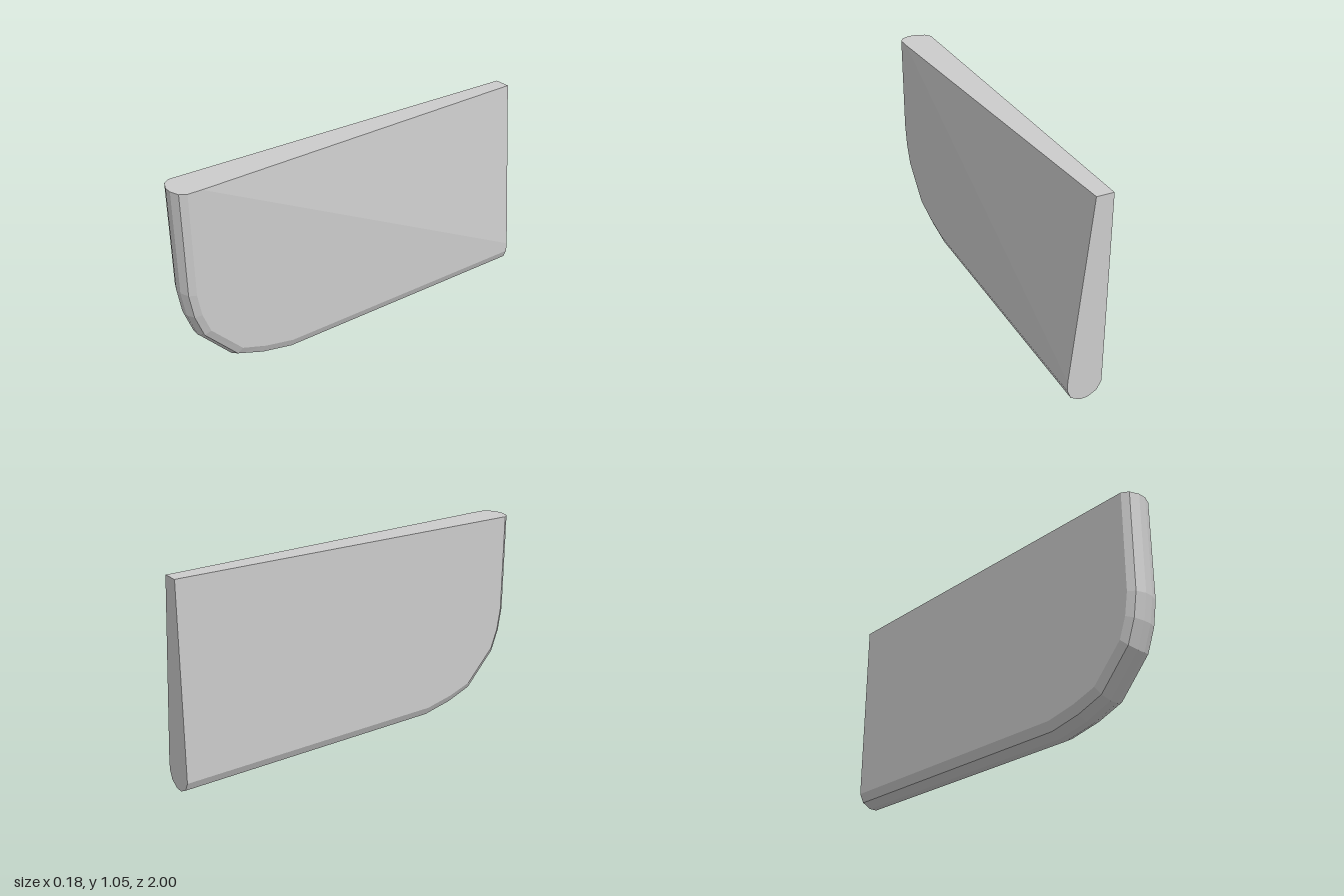
import * as THREE from 'three';

const TOP = 1.05, BACK = -1;

// Side outline [z, y]: down the front edge, round the lower corner, along the bottom
const outline = [
  [1, TOP], [1, 0.53], [0.98, 0.4], [0.935, 0.275], [0.765, 0.09], [0.62, 0.035], [0.45, 0], [BACK, 0],
];

// Rounded edge across the thickness: [x, inset from the outline]
const edge = [[-0.09, 0.07], [-0.067, 0.025], [-0.02, 0], [0.022, 0], [0.067, 0.025], [0.086, 0.07]];

// Outline moved inwards along its averaged normals, placed at x
function ring([x, inset]) {
  return outline.map(([z, y], i) => {
    const a = outline[Math.max(i - 1, 0)], b = outline[Math.min(i + 1, outline.length - 1)];
    const dz = b[0] - a[0], dy = b[1] - a[1], len = Math.hypot(dz, dy);
    const nz = dy / len, ny = -dz / len;
    return [x, y + inset * ny, z + inset * nz * 0.72];
  });
}

// Convex polygons, each cut into a fan of triangles
function fromPolygons(polygons) {
  const pos = [];
  for (const p of polygons)
    for (let i = 1; i < p.length - 1; i++) pos.push(...p[0], ...p[i], ...p[i + 1]);
  const geo = new THREE.BufferGeometry();
  geo.setAttribute('position', new THREE.Float32BufferAttribute(pos, 3));
  geo.computeVertexNormals();
  return geo;
}

export function createModel() {
  const group = new THREE.Group();
  group.name = 'wedgePanel';
  const material = new THREE.MeshStandardMaterial({ color: 0xcccccc, flatShading: true });
  const add = (name, polygons) => {
    const mesh = new THREE.Mesh(fromPolygons(polygons), material);
    mesh.name = name;
    group.add(mesh);
  };

  const rings = edge.map(ring);
  const first = rings[0], last = rings[rings.length - 1];
  const end = outline.length - 1;

  // Corners of the tapering side
  const foldFront = [0.086, TOP, 0.88];
  const foldBack = [0.086, 0.12, BACK];
  const taperCorner = [-0.005, TOP, BACK];
  const flatCorner = [-0.09, TOP, BACK];

  // Rounded front and bottom edge
  const strips = [];
  for (let j = 0; j < rings.length - 1; j++)
    for (let i = 0; i < end; i++)
      strips.push([rings[j][i], rings[j][i + 1], rings[j + 1][i + 1], rings[j + 1][i]]);
  add('roundedEdge', strips);

  // Flat side
  add('flatSide', [[...first, flatCorner].reverse()]);

  // Opposite side, folded along its diagonal towards the thin top back corner
  add('taperedSide', [[foldFront, ...last, foldBack], [foldFront, foldBack, taperCorner]]);

  // Cut faces at the back and top
  add('backFace', [[...rings.map((r) => r[end]), foldBack, taperCorner, flatCorner].reverse()]);
  add('topFace', [[...rings.map((r) => r[0]), foldFront, taperCorner, flatCorner]]);

  return group;
}
